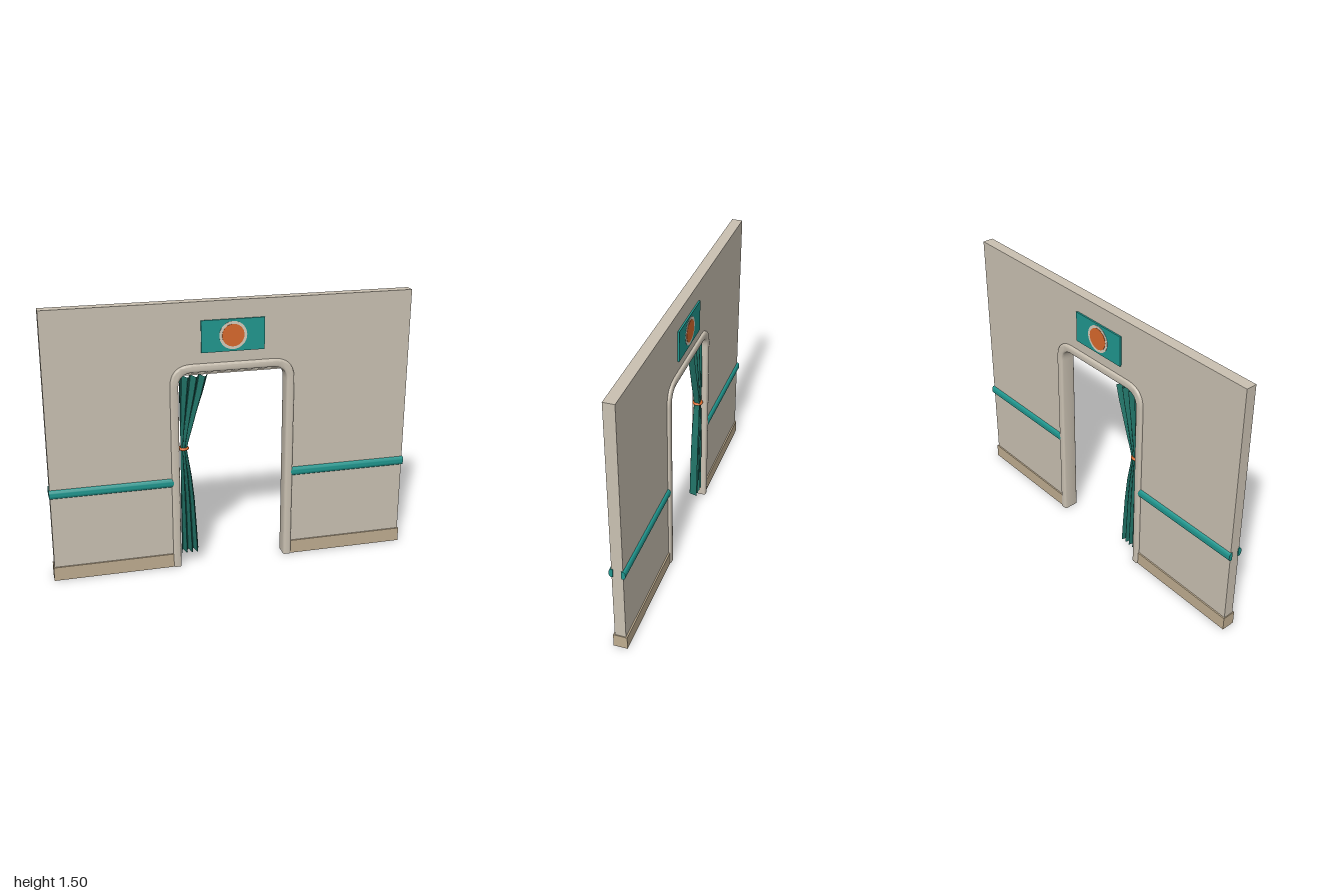
import * as THREE from 'three';
import { toCreasedNormals } from 'three/addons/utils/BufferGeometryUtils.js';

const mat = (name, color, side = THREE.FrontSide) => {
  const m = new THREE.MeshStandardMaterial({ color, side });
  m.name = name;
  return m;
};

// Adds the corners of a round-topped doorway, going up one side and down the other
function archPath(target, half, bottom, top, radius, reverse) {
  const s = reverse ? -1 : 1;
  target.lineTo(-s * half, bottom);
  target.lineTo(-s * half, top - radius);
  target.quadraticCurveTo(-s * half, top, -s * (half - radius), top);
  target.lineTo(s * (half - radius), top);
  target.quadraticCurveTo(s * half, top, s * half, top - radius);
  target.lineTo(s * half, bottom);
}

export function createModel() {
  const group = new THREE.Group();
  const plaster = mat('plaster', 0xcac1b2);
  const skirting = mat('skirting tan', 0xbfad90);
  const teal = mat('teal', 0x20978f);
  const cloth = mat('curtain green', 0x217468, THREE.DoubleSide);
  const orange = mat('orange', 0xd8692c);
  const cream = mat('cream', 0xd6cdbd);

  const add = (name, geometry, material, x = 0, y = 0, z = 0) => {
    const mesh = new THREE.Mesh(geometry, material);
    mesh.name = name;
    mesh.position.set(x, y, z);
    group.add(mesh);
    return mesh;
  };

  // Wall with the doorway cut out
  const wallShape = new THREE.Shape();
  wallShape.moveTo(-0.995, 0);
  archPath(wallShape, 0.32, 0, 1.14, 0.09, false);
  wallShape.lineTo(0.995, 0);
  wallShape.lineTo(0.995, 1.495);
  wallShape.lineTo(-0.995, 1.495);
  const wall = new THREE.ExtrudeGeometry(wallShape, { depth: 0.06, bevelEnabled: false });
  add('wall', wall.translate(0, 0, -0.03), plaster);

  // Door frame with softened edges, trimmed flat on the floor
  const frameShape = new THREE.Shape();
  frameShape.moveTo(-0.34, -0.03);
  archPath(frameShape, 0.34, -0.03, 1.165, 0.12, false);
  archPath(frameShape, 0.296, -0.03, 1.12, 0.08, true);
  const frame = new THREE.ExtrudeGeometry(frameShape, {
    depth: 0.066, bevelThickness: 0.011, bevelSize: 0.011, bevelOffset: -0.011,
    bevelSegments: 3, curveSegments: 12,
  });
  frame.translate(0, 0, -0.033);
  const fp = frame.attributes.position;
  for (let i = 0; i < fp.count; i++) fp.setY(i, Math.max(0, fp.getY(i)));
  add('doorFrame', toCreasedNormals(frame, 0.6), plaster);

  // Half-round handrail profile
  const railShape = new THREE.Shape();
  railShape.moveTo(0.022, -0.024);
  railShape.lineTo(0.034, -0.024);
  railShape.bezierCurveTo(0.047, -0.02, 0.047, 0.02, 0.034, 0.024);
  railShape.lineTo(0.022, 0.024);
  const railGeo = toCreasedNormals(
    new THREE.ExtrudeGeometry(railShape, { depth: 0.67, bevelEnabled: false, curveSegments: 10 }), 0.6);
  railGeo.translate(0, 0, -0.335);

  // Skirting and handrails either side of the door, on both faces
  for (const side of [-1, 1]) {
    add('skirting', new THREE.BoxGeometry(0.67, 0.078, 0.076), skirting, side * 0.665, 0.039, 0);
    for (const face of [-1, 1]) {
      const rail = add('handrail', railGeo, teal, side * 0.665, 0.506, 0);
      rail.rotation.y = -face * Math.PI / 2;
    }
  }

  // Sign panel with a plain roundel, on both faces
  for (const face of [-1, 1]) {
    const sign = new THREE.Group();
    sign.name = 'signPanel';
    const part = (name, geometry, material, z) => {
      const mesh = new THREE.Mesh(geometry, material);
      mesh.name = name;
      mesh.position.z = z;
      sign.add(mesh);
    };
    const disc = (r) => new THREE.CylinderGeometry(r, r, 0.002, 48).rotateX(Math.PI / 2);
    part('panel', new THREE.BoxGeometry(0.342, 0.172, 0.012), teal, 0.033);
    part('roundelRim', disc(0.075), cream, 0.0395);
    part('roundelCentre', disc(0.06), orange, 0.041);
    sign.position.y = 1.31;
    sign.rotation.y = face > 0 ? 0 : Math.PI;
    group.add(sign);
  }

  // Curtain track under the lintel
  add('curtainTrack', new THREE.BoxGeometry(0.588, 0.008, 0.014), plaster, 0, 1.103, 0);

  // Gathered curtain: rows of [height, left edge, right edge, fold depth]
  const rows = [
    [1.092, -0.29, -0.125, 0.022], [1.0, -0.29, -0.15, 0.022], [0.9, -0.289, -0.183, 0.021],
    [0.8, -0.288, -0.214, 0.02], [0.73, -0.286, -0.237, 0.018], [0.69, -0.284, -0.247, 0.017],
    [0.64, -0.286, -0.24, 0.018], [0.52, -0.289, -0.22, 0.021], [0.38, -0.29, -0.205, 0.022],
    [0.22, -0.29, -0.195, 0.023], [0.07, -0.29, -0.187, 0.024],
  ];
  const cols = 56, verts = [], faces = [];
  rows.forEach(([y, left, right, depth], r) => {
    for (let c = 0; c <= cols; c++) {
      const u = c / cols;
      verts.push(left + (right - left) * u, y, depth * Math.cos(u * Math.PI * 7));
      if (r && c) {
        const d = r * (cols + 1) + c, b = d - cols - 1;
        faces.push(b - 1, d - 1, b, b, d - 1, d);
      }
    }
  });
  const curtain = new THREE.BufferGeometry();
  curtain.setAttribute('position', new THREE.Float32BufferAttribute(verts, 3));
  curtain.setIndex(faces);
  curtain.computeVertexNormals();
  add('curtain', curtain, cloth);

  // Tie holding the curtain back
  const tie = new THREE.TorusGeometry(0.022, 0.008, 10, 32).rotateX(Math.PI / 2);
  add('curtainTie', tie, orange, -0.267, 0.69, 0);

  return group;
}
